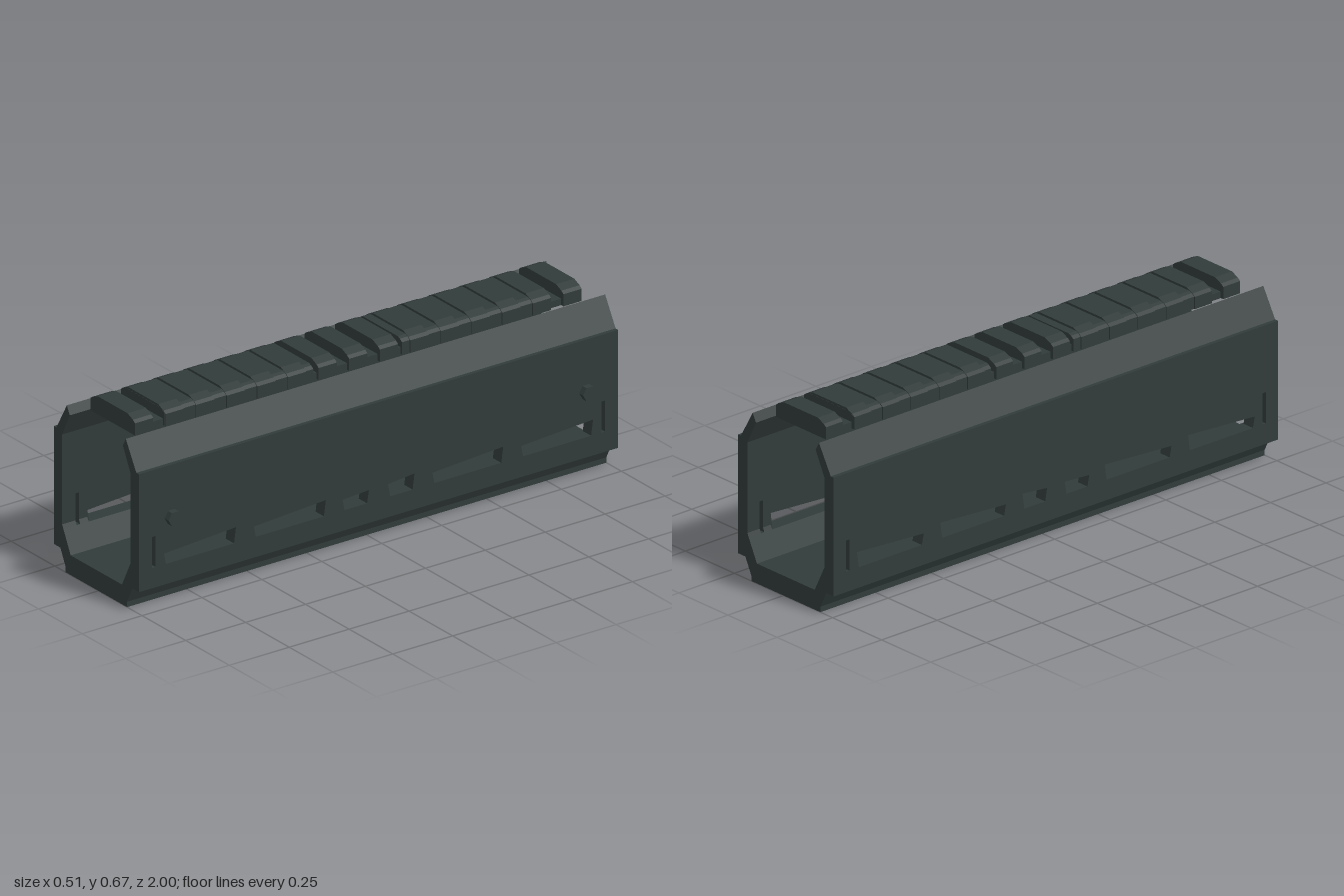
import * as THREE from 'three';

const CX = -0.012; // the body sits slightly off centre because of the side bolts

// Shape from [x, y] pairs
const poly = (pts) => new THREE.Shape(pts.map(([x, y]) => new THREE.Vector2(x, y)));
const flip = (pts) => pts.map(([x, y]) => [-x, y]).reverse();

// Cross-section swept along z from z0 to z1
function sweep(pts, z0, z1) {
  const g = new THREE.ExtrudeGeometry(poly(pts), { depth: z1 - z0, bevelEnabled: false });
  return g.translate(CX, 0, z0);
}

export function createModel() {
  const model = new THREE.Group();
  const metal = new THREE.MeshStandardMaterial({ color: 0x313b3a });
  metal.name = 'dark gunmetal';

  const add = (name, geometry, parent = model) => {
    const mesh = new THREE.Mesh(geometry, metal);
    mesh.name = name;
    parent.add(mesh);
    return mesh;
  };

  // Floor with chamfered lower corners
  const half = [[0.176, 0], [0.176, 0.02], [0.206, 0.08], [0.196, 0.08],
    [0.196, 0.155], [0.1885, 0.155], [0.147, 0.073]];
  add('floor', sweep([...half, ...flip(half)], -1, 1));

  // Vent slots: [front z, rear z, front top y, rear top y]
  const slots = [
    [0.895, 0.595, 0.195, 0.213], [0.52, 0.22, 0.195, 0.213], [0.15, 0.04, 0.195, 0.202],
    [-0.04, -0.15, 0.202, 0.213], [-0.225, -0.52, 0.195, 0.213], [-0.595, -0.895, 0.195, 0.213],
  ];
  const slits = [[0.945, 0.93, 0.27, 0.27], [-0.93, -0.945, 0.27, 0.27]];
  const openings = [slits[0], ...slots, slits[1]];

  // Side walls pierced by the slots (drawn in the z-y plane, extruded along x)
  const wallShape = poly([[-1, 0.08], [1, 0.08], [1, 0.517], [-1, 0.517]]);
  for (const [a, b, ta, tb] of openings) {
    const inset = a - b > 0.05 ? 0.008 : 0;
    wallShape.holes.push(new THREE.Path([
      [-a, ta], [-b, tb], [-b - inset, 0.155], [-a + inset, 0.155],
    ].map(([x, y]) => new THREE.Vector2(x, y))));
  }
  const lip = [[0.196, 0.503], [0.196, 0.517], [0.229, 0.517], [0.169, 0.621], [0.152, 0.59]];
  const web = [[0.196, 0.155], [0.196, 0.17], [0.1885, 0.155]];

  for (const side of [1, -1]) {
    const group = new THREE.Group();
    group.name = side > 0 ? 'leftSide' : 'rightSide';
    model.add(group);
    const wall = new THREE.ExtrudeGeometry(wallShape, { depth: 0.048, bevelEnabled: false });
    wall.rotateY(Math.PI / 2).translate(CX + (side > 0 ? 0.196 : -0.244), 0, 0);
    add('wall', wall, group);

    // Inward-leaning upper lip
    add('upperLip', sweep(side > 0 ? lip : flip(lip), -1, 1), group);

    // Inner chamfer continues between the openings
    let front = 1;
    for (const [a, b] of [...openings, [-1, -1]]) {
      add('innerWeb', sweep(side > 0 ? web : flip(web), a, front), group);
      front = b;
    }
  }

  // Top rail: thin base, two raised runs and fifteen cross teeth
  const rail = new THREE.Group();
  rail.name = 'topRail';
  model.add(rail);
  const profile = (w, top, flat) => {
    const r = [[w, 0.6], [w, 0.645], [w - 0.012, 0.654], [flat, top]];
    return [...r, ...flip(r)];
  };
  const base = [[0.115, 0.6], [0.115, 0.624]];
  add('railBase', sweep([...base, ...flip(base)], -0.92, 0.92), rail);
  for (const [z0, z1] of [[0.185, 0.805], [-0.805, -0.185]]) {
    add('raisedRun', sweep(profile(0.124, 0.659, 0.1), z0, z1), rail);
  }
  for (let i = -7; i <= 7; i++) {
    const z = i * 0.1277;
    add('railTooth', sweep(profile(0.128, 0.667, 0.086), z - 0.038, z + 0.038), rail);
  }

  // Hexagonal bolts on one side
  for (const z of [0.865, -0.865]) {
    const g = new THREE.CylinderGeometry(0.028, 0.028, 0.028, 6);
    const bolt = add('sideBolt', g.toNonIndexed());
    bolt.geometry.computeVertexNormals();
    bolt.rotation.z = -Math.PI / 2;
    bolt.position.set(0.241, 0.325, z);
  }
  return model;
}
